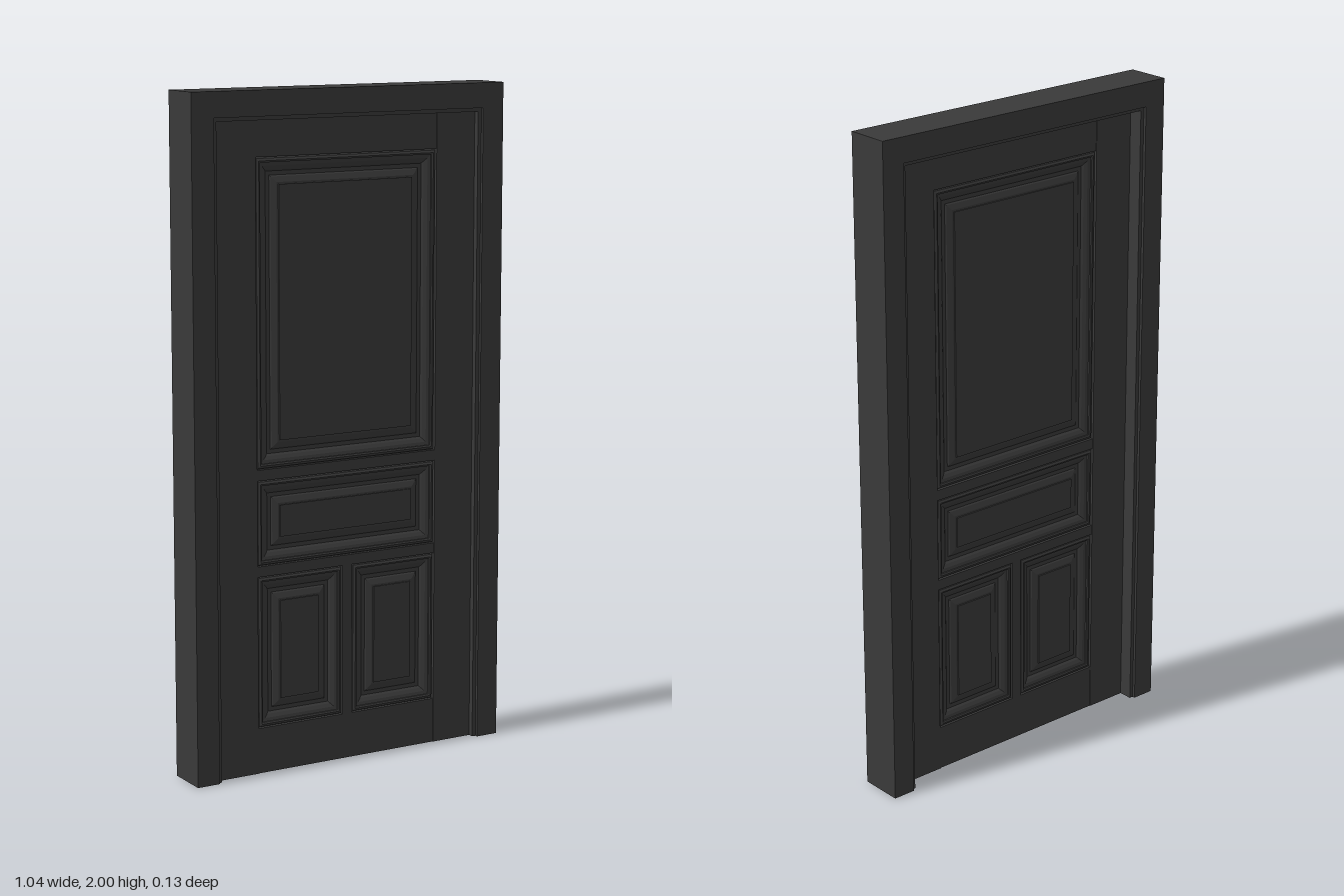
import * as THREE from 'three';

const mat = new THREE.MeshStandardMaterial({ color: 0x3a3a3a, flatShading: true });

function add(parent, name, geometry) {
  const mesh = new THREE.Mesh(geometry, mat);
  mesh.name = name;
  parent.add(mesh);
  return mesh;
}

// Box given by its limits on each axis
function block(parent, name, x0, x1, y0, y1, z0, z1) {
  const m = add(parent, name, new THREE.BoxGeometry(x1 - x0, y1 - y0, z1 - z0));
  m.position.set((x0 + x1) / 2, (y0 + y1) / 2, (z0 + z1) / 2);
}

// Upside-down U of the door frame, with an opening of the given half width and height
function frameLayer(parent, name, half, height, z0, z1) {
  const W = 0.52, H = 2;
  const pts = [[-W, 0], [-half, 0], [-half, height], [half, height], [half, 0], [W, 0], [W, H], [-W, H]];
  const shape = new THREE.Shape(pts.map(p => new THREE.Vector2(p[0], p[1])));
  const m = add(parent, name, new THREE.ExtrudeGeometry(shape, { depth: z1 - z0, bevelEnabled: false }));
  m.position.z = z0;
}

// Moulding profile: distance in from the opening edge, depth relative to the face
const profile = [
  [0, -0.012], [0.004, -0.002], [0.011, 0.001], [0.016, -0.001], [0.016, -0.006],
  [0.026, -0.008], [0.036, -0.013], [0.042, -0.018], [0.054, -0.018],
  [0.058, -0.015], [0.074, -0.010], [0.08, -0.010], [0.08, -0.006],
];

// Raised panel made of nested rectangles that follow the profile
function panelGeometry(x0, x1, y0, y1) {
  const pos = [], idx = [];
  for (const [d, z] of profile) {
    pos.push(x0 + d, y0 + d, z, x1 - d, y0 + d, z, x1 - d, y1 - d, z, x0 + d, y1 - d, z);
  }
  for (let r = 0; r < profile.length - 1; r++) {
    for (let i = 0; i < 4; i++) {
      const a = r * 4 + i, b = r * 4 + (i + 1) % 4;
      idx.push(a, b, b + 4, a, b + 4, a + 4);
    }
  }
  const n = (profile.length - 1) * 4;
  idx.push(n, n + 1, n + 2, n, n + 2, n + 3);
  const g = new THREE.BufferGeometry();
  g.setAttribute('position', new THREE.Float32BufferAttribute(pos, 3));
  g.setIndex(idx);
  const flat = g.toNonIndexed();
  flat.computeVertexNormals();
  return flat;
}

export function createModel() {
  const model = new THREE.Group();
  model.name = 'door';

  // Frame with a small step around the opening on both faces
  const frame = new THREE.Group();
  frame.name = 'frame';
  model.add(frame);
  frameLayer(frame, 'frameFront', 0.449, 1.926, 0.058, 0.067);
  frameLayer(frame, 'frameCore', 0.437, 1.915, -0.058, 0.058);
  frameLayer(frame, 'frameBack', 0.449, 1.926, -0.067, -0.058);

  // Door leaf, centred on its own thickness
  const leaf = new THREE.Group();
  leaf.name = 'leaf';
  leaf.position.z = 0.013;
  model.add(leaf);
  const T = 0.028, R = T - 0.002, S = 0.304, M = 0.016;
  for (const s of [-1, 1]) {
    block(leaf, s > 0 ? 'leftStile' : 'rightStile', s > 0 ? S : -0.437, s > 0 ? 0.437 : -S, 0, 1.915, -T, T);
  }

  // Rails and the lower mullion
  const rails = [
    ['bottomRail', 0, 0.137], ['lowerRail', 0.593, 0.624],
    ['middleRail', 0.878, 0.91], ['topRail', 1.81, 1.915],
  ];
  for (const [name, y0, y1] of rails) block(leaf, name, -S, S, y0, y1, -R, R);
  block(leaf, 'mullion', -M, M, 0.137, 0.593, -R, R);

  // Moulded panels on both faces
  const panels = [
    ['upperPanel', -S, S, 0.91, 1.81],
    ['middlePanel', -S, S, 0.624, 0.878],
    ['lowerPanel', -S, -M, 0.137, 0.593],
    ['lowerPanel', M, S, 0.137, 0.593],
  ];
  for (const back of [false, true]) {
    const side = new THREE.Group();
    side.name = back ? 'backPanels' : 'frontPanels';
    side.rotation.y = back ? Math.PI : 0;
    leaf.add(side);
    for (const [name, ...limits] of panels) {
      add(side, name, panelGeometry(...limits)).position.z = R;
    }
  }
  return model;
}
